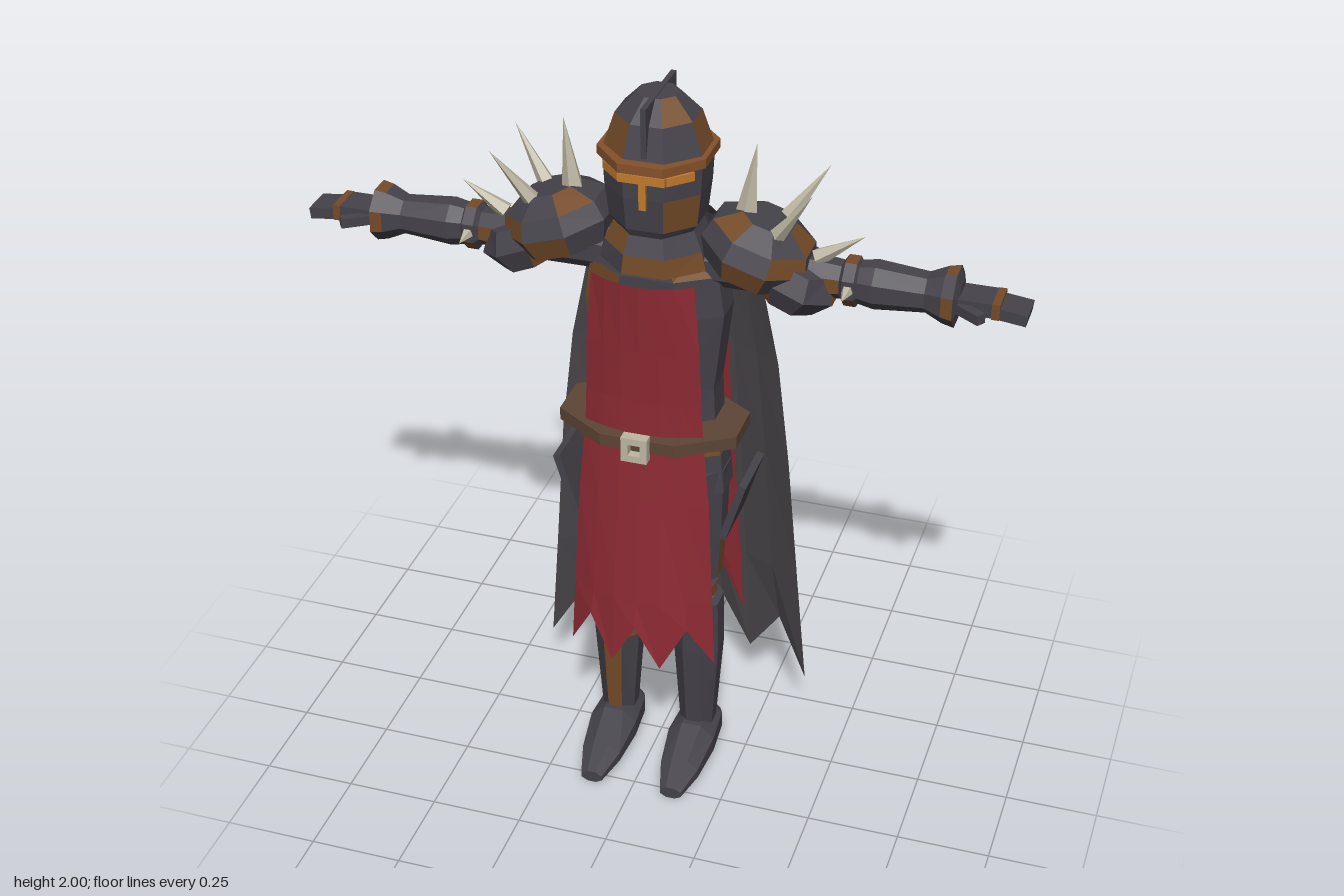
import * as THREE from 'three';

const mat = (name, color, side = THREE.FrontSide) => {
  const m = new THREE.MeshStandardMaterial({ color, side });
  m.name = name;
  return m;
};
const iron = mat('iron', 0x45424a);
const rust = mat('rust', 0x744b28);
const trim = mat('rusty trim', 0x85502a);
const cloakCloth = mat('cloak cloth', 0x4a464b, THREE.DoubleSide);
const crimson = mat('crimson cloth', 0x8c2a33, THREE.DoubleSide);
const bone = mat('bone', 0xbdb6a2);
const leather = mat('leather', 0x5c4535);
const gold = mat('gold', 0xbf7a2c);
const steel = mat('steel', 0x77767c);

// Faceted solid through rings [y, rx, rz, cx, cz]; patches are 'row,segment' (0 front, 2 +x, 4 back, 6 -x)
function loftGeo(rings, patches = [], caps = true, n = 8) {
  const base = [], worn = [], k0 = 1 / Math.cos(Math.PI / n);
  const pt = (j, k) => {
    const [y, rx, rz, cx = 0, cz = 0] = rings[j], a = (k - 0.5) * 2 * Math.PI / n;
    return [cx + Math.sin(a) * rx * k0, y, cz + Math.cos(a) * rz * k0];
  };
  const mid = j => [rings[j][3] || 0, rings[j][0], rings[j][4] || 0];
  const last = rings.length - 1;
  for (let k = 0; k < n; k++) {
    for (let j = 0; j < last; j++) {
      const A = pt(j, k), B = pt(j, k + 1), C = pt(j + 1, k + 1), D = pt(j + 1, k);
      (patches.includes(j + ',' + k) ? worn : base).push(...A, ...B, ...C, ...A, ...C, ...D);
    }
    if (caps) {
      base.push(...mid(0), ...pt(0, k + 1), ...pt(0, k));
      base.push(...mid(last), ...pt(last, k), ...pt(last, k + 1));
    }
  }
  const g = new THREE.BufferGeometry();
  g.setAttribute('position', new THREE.Float32BufferAttribute([...base, ...worn], 3));
  g.addGroup(0, base.length / 3, 0);
  if (worn.length) g.addGroup(base.length / 3, worn.length / 3, 1);
  g.computeVertexNormals();
  return g;
}
function add(parent, name, geo, material, pos = [0, 0, 0], rot = [0, 0, 0]) {
  const m = new THREE.Mesh(geo, material);
  m.name = name;
  m.position.set(...pos);
  m.rotation.set(...rot);
  parent.add(m);
  return m;
}
const loft = (parent, name, rings, patches, pos, rot) =>
  add(parent, name, loftGeo(rings, patches), [iron, rust], pos, rot);
const box = (parent, name, size, material, pos, rot) =>
  add(parent, name, new THREE.BoxGeometry(...size), material, pos, rot);

// Five-sided spike from base point to tip
function spike(parent, name, from, to, r) {
  const a = new THREE.Vector3(...from), b = new THREE.Vector3(...to), d = b.clone().sub(a);
  const g = new THREE.ConeGeometry(r, d.length(), 5).toNonIndexed();
  g.computeVertexNormals();
  const m = add(parent, name, g, bone, a.clone().add(b).multiplyScalar(0.5).toArray());
  m.quaternion.setFromUnitVectors(new THREE.Vector3(0, 1, 0), d.normalize());
}

// Hanging curved cloth: rows [y, halfWidth, zCentre, zEdge] with a jagged hem
function cloth(parent, name, rows, cols, hem, material) {
  const pos = [], idx = [];
  rows.forEach(([y, w, zc, ze], j) => {
    for (let i = 0; i <= cols; i++) {
      const u = 2 * i / cols - 1;
      const notch = j === rows.length - 1 && i % 2 ? hem : 0;
      pos.push(u * w, y + notch, ze + (zc - ze) * (1 - u * u));
    }
  });
  for (let j = 0; j < rows.length - 1; j++) {
    for (let i = 0; i < cols; i++) {
      const a = j * (cols + 1) + i, b = a + cols + 1;
      idx.push(a, b, b + 1, a, b + 1, a + 1);
    }
  }
  let g = new THREE.BufferGeometry();
  g.setAttribute('position', new THREE.Float32BufferAttribute(pos, 3));
  g.setIndex(idx);
  g = g.toNonIndexed();
  g.computeVertexNormals();
  add(parent, name, g, material);
}

function buildHead(root) {
  const head = new THREE.Group();
  head.name = 'helmet';
  head.position.z = 0.027;
  root.add(head);
  loft(head, 'helmetShell', [[1.64, 0.095, 0.1], [1.67, 0.115, 0.115], [1.76, 0.125, 0.125], [1.85, 0.13, 0.125],
    [1.945, 0.1, 0.1], [1.998, 0.05, 0.05]], ['3,7', '3,2', '1,3', '2,5', '4,1', '3,4', '1,1']);
  add(head, 'browBand', loftGeo([[1.838, 0.125, 0.125], [1.838, 0.14, 0.15], [1.862, 0.14, 0.15],
    [1.862, 0.12, 0.12]], [], false), trim);
  box(head, 'crest', [0.014, 0.13, 0.245], iron, [0, 1.935, 0]);
  // Visor strip and nose guard
  box(head, 'visorFront', [0.12, 0.022, 0.009], gold, [0, 1.821, 0.138]);
  for (const s of [1, -1]) {
    box(head, 'visorSide', [0.078, 0.022, 0.009], gold, [s * 0.088, 1.821, 0.106], [0, s * Math.PI / 4, 0]);
  }
  box(head, 'noseGuard', [0.018, 0.08, 0.009], gold, [0, 1.776, 0.13]);
}

function buildArm(root, s) {
  const arm = new THREE.Group();
  arm.name = s > 0 ? 'leftArm' : 'rightArm';
  arm.scale.x = s;
  root.add(arm);
  const along = [0, 0, -Math.PI / 2], at = [0, 1.55, 0.015];
  loft(arm, 'upperArm', [[0.12, 0.06, 0.06], [0.34, 0.06, 0.06], [0.48, 0.045, 0.045]], ['1,0'], at, along);
  loft(arm, 'forearm', [[0.5, 0.048, 0.045], [0.56, 0.058, 0.058], [0.69, 0.047, 0.05], [0.735, 0.066, 0.068],
    [0.765, 0.072, 0.074], [0.775, 0.035, 0.045]], ['3,6', '3,0', '1,5', '2,3'], at, along);
  loft(arm, 'elbowCup', [[0.475, 0.045, 0.045], [0.485, 0.06, 0.058], [0.515, 0.06, 0.058], [0.525, 0.045, 0.045]],
    ['1,6', '1,2', '1,1', '1,5'], at, along);
  for (const z of [1, -1]) {
    spike(arm, 'elbowSpike', [0.5, 1.55, 0.015 + z * 0.055], [0.5, 1.55, 0.015 + z * 0.115], 0.016);
  }
  // Pauldron plates
  loft(arm, 'upperPauldron', [[-0.06, 0.115, 0.115], [0, 0.14, 0.138], [0.05, 0.125, 0.12], [0.09, 0.065, 0.065]],
    ['1,1', '2,7', '0,0', '1,3', '2,2', '0,4'], [0.26, 1.61, 0.022], [0, 0, -0.3]);
  loft(arm, 'lowerPauldron', [[-0.07, 0.075, 0.08], [-0.01, 0.11, 0.105], [0.045, 0.07, 0.08]],
    ['1,2', '0,7', '0,3'], [0.365, 1.55, 0.02], [0, 0, -0.4]);
  spike(arm, 'tallSpike', [0.225, 1.68, 0.022], [0.25, 1.89, 0.022], 0.032);
  for (const z of [1, -1]) {
    spike(arm, 'shoulderSpike', [0.3, 1.65, 0.022 + z * 0.045], [0.415, 1.815, 0.022 + z * 0.092], 0.027);
  }
  spike(arm, 'outerSpike', [0.41, 1.605, 0.022], [0.53, 1.68, 0.022], 0.024);
  // Gauntlet
  box(arm, 'palm', [0.11, 0.038, 0.09], iron, [0.815, 1.55, 0.02]);
  box(arm, 'knuckles', [0.02, 0.042, 0.092], rust, [0.868, 1.549, 0.02]);
  box(arm, 'fingers', [0.075, 0.03, 0.088], iron, [0.908, 1.54, 0.02], [0, 0, -0.12]);
  box(arm, 'thumb', [0.075, 0.026, 0.026], iron, [0.81, 1.545, 0.082], [0, -0.6, 0]);
}

function buildLeg(root, s) {
  const leg = new THREE.Group();
  leg.name = s > 0 ? 'leftLeg' : 'rightLeg';
  leg.position.x = s * 0.115;
  leg.scale.x = s;
  root.add(leg);
  loft(leg, 'thigh', [[0.6, 0.058, 0.06, 0, 0.025], [0.75, 0.068, 0.072, 0, 0.025], [0.95, 0.072, 0.08, 0, 0.02]],
    ['0,2', '0,6', '0,4'].slice(0, s > 0 ? 3 : 2));
  add(leg, 'kneeJoint', loftGeo([[0.5, 0.042, 0.04, 0, 0.01], [0.62, 0.042, 0.04, 0, 0.01]]), steel);
  loft(leg, 'greave', [[0.09, 0.046, 0.052, 0, 0.022], [0.36, 0.064, 0.07, 0, 0.022], [0.515, 0.062, 0.074, 0, 0.025]],
    s > 0 ? ['0,6', '1,3'] : ['0,0', '1,7', '1,3']);
  loft(leg, 'kneeCap', [[0.035, 0.055, 0.045], [0.075, 0.05, 0.04], [0.1, 0.022, 0.02]], ['1,0', '0,2', '0,6', '1,4'],
    [0, 0.565, 0], [Math.PI / 2, 0, 0]);
  spike(leg, 'kneeSpike', [0, 0.565, 0.09], [0, 0.575, 0.168], 0.018);
  // Pointed boot, sole on the ground
  loft(leg, 'boot', [[-0.05, 0.045, 0.05, 0, -0.05], [-0.02, 0.058, 0.058, 0, -0.058], [0.09, 0.066, 0.054, 0, -0.054],
    [0.2, 0.054, 0.033, 0, -0.033], [0.285, 0.03, 0.017, 0, -0.017]], [], [0, 0, 0], [Math.PI / 2, 0, 0]);
  // Tilted hip plate
  box(leg, 'hipPlate', [0.02, 0.18, 0.18], iron, [0.115, 0.865, 0.028], [0, 0, -0.3]);
}

export function createModel() {
  const root = new THREE.Group();
  root.name = 'spikedKnight';
  buildHead(root);
  loft(root, 'torso', [[0.885, 0.19, 0.11, 0, 0.015], [1.0, 0.18, 0.105, 0, 0.015], [1.06, 0.165, 0.102, 0, 0.015],
    [1.2, 0.16, 0.105, 0, 0.018], [1.42, 0.185, 0.11, 0, 0.02], [1.53, 0.17, 0.11, 0, 0.02],
    [1.6, 0.11, 0.095, 0, 0.02]], ['1,1', '1,2', '1,6', '3,7', '4,7', '2,3', '5,1']);
  loft(root, 'gorget', [[1.55, 0.14, 0.13, 0, 0.025], [1.6, 0.128, 0.125, 0, 0.025], [1.665, 0.1, 0.1, 0, 0.025]],
    ['0,1', '1,7', '0,0', '1,3']);
  for (const s of [1, -1]) {
    buildArm(root, s);
    buildLeg(root, s);
  }

  // Belt and buckle
  add(root, 'belt', loftGeo([[1.072, 0.15, 0.1, 0, 0.02], [1.072, 0.24, 0.155, 0, 0.06], [1.107, 0.24, 0.155, 0, 0.06],
    [1.107, 0.15, 0.1, 0, 0.02]], [], false), leather);
  const square = (C, h) => new C().moveTo(-h, -h).lineTo(h, -h).lineTo(h, h).lineTo(-h, h).closePath();
  const frame = square(THREE.Shape, 0.035);
  frame.holes.push(square(THREE.Path, 0.016));
  add(root, 'buckle', new THREE.ExtrudeGeometry(frame, { depth: 0.03, bevelEnabled: false }), bone, [0, 1.088, 0.21]);

  // Tabard panels and cloak
  cloth(root, 'frontTabard', [[1.545, 0.135, 0.205, 0.16], [1.35, 0.15, 0.192, 0.16], [1.2, 0.155, 0.186, 0.155],
    [1.09, 0.16, 0.188, 0.152], [0.9, 0.178, 0.202, 0.156], [0.6, 0.193, 0.232, 0.165],
    [0.4, 0.203, 0.242, 0.168]], 6, 0.125, crimson);
  cloth(root, 'backTabard', [[1.545, 0.135, -0.13, -0.1], [1.09, 0.16, -0.135, -0.1], [0.6, 0.193, -0.135, -0.108],
    [0.4, 0.203, -0.14, -0.112]], 6, 0.125, crimson);
  cloth(root, 'cloak', [[1.645, 0.1, -0.12, -0.09], [1.6, 0.15, -0.155, -0.095], [1.53, 0.19, -0.18, -0.1],
    [1.42, 0.24, -0.193, -0.105], [1.2, 0.285, -0.208, -0.108], [0.9, 0.32, -0.23, -0.112],
    [0.5, 0.352, -0.258, -0.13], [0.165, 0.38, -0.28, -0.145]], 8, 0.15, cloakCloth);
  return root;
}
